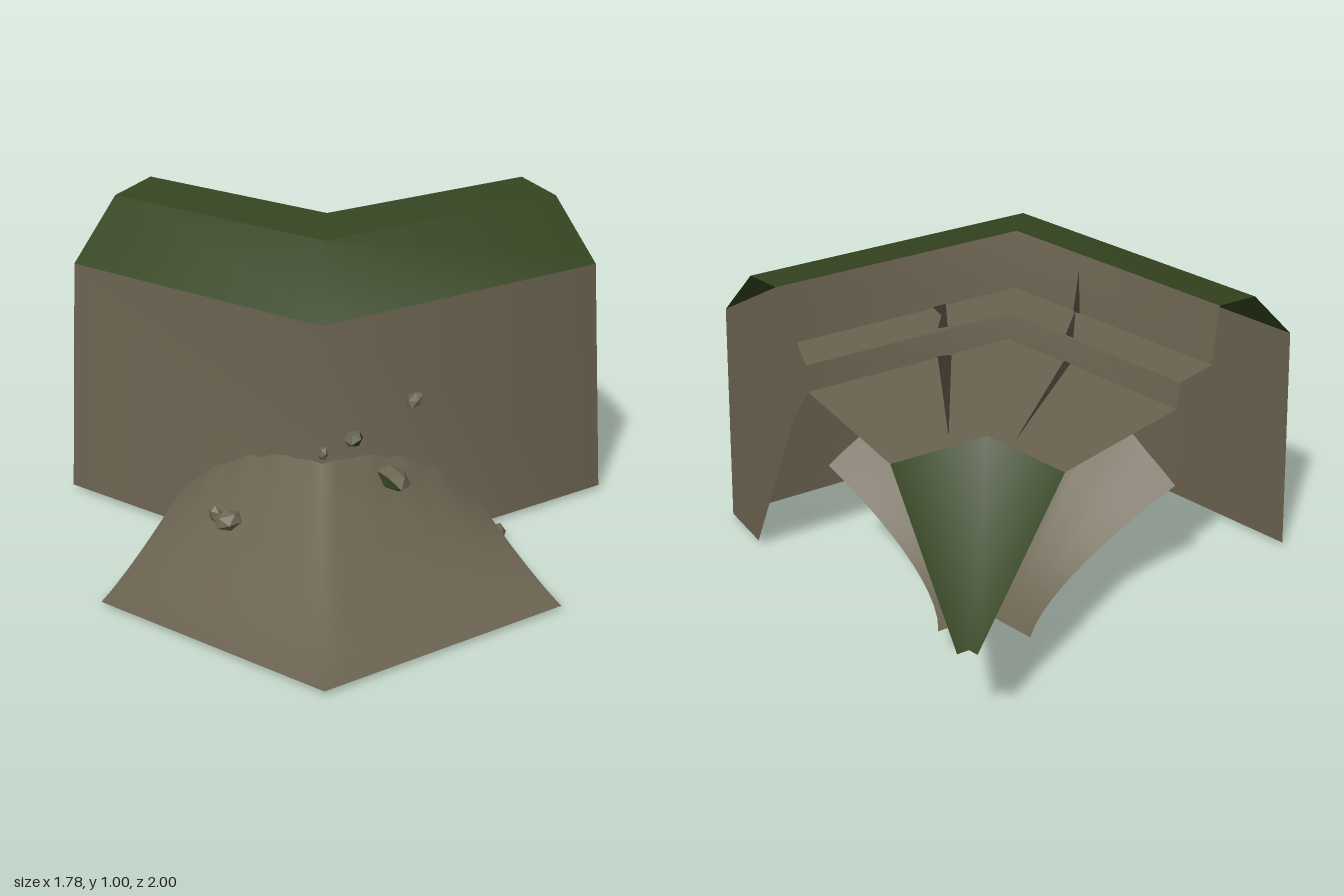
import * as THREE from 'three';

const mat = (name, color) => {
  const m = new THREE.MeshStandardMaterial({ color, side: THREE.DoubleSide });
  m.name = name;
  return m;
};

// Two wings meet at a mitre. d = depth inward from the outer base, l = distance from the mitre.
function P(wing, d, l, y) {
  const x = 0.212 - 0.75 * d, z = 0.45 - d;
  return wing === 0 ? [x - l, y, z] : [x + 0.28 * l, y, z - 0.96 * l];
}
const endAt = (wing, d) => (wing === 0 ? 1.092 - 0.75 * d : 1.14 - 0.78 * d);

function mesh3(points, index) {
  const g = new THREE.BufferGeometry();
  g.setAttribute('position', new THREE.Float32BufferAttribute(points.flat(), 3));
  if (index) g.setIndex(index);
  g.computeVertexNormals();
  return g;
}

// Sweeps a (depth, height) profile along both wings: sharp along its edges, smooth round the mitre
function sweep(profile) {
  const v = [], idx = [];
  for (let i = 0; i + 1 < profile.length; i++) {
    const o = v.length;
    for (const [d, y] of [profile[i], profile[i + 1]]) {
      v.push(P(0, d, endAt(0, d), y), P(0, d, 0, y), P(1, d, endAt(1, d), y));
    }
    for (const k of [o, o + 1]) idx.push(k, k + 1, k + 3, k + 1, k + 4, k + 3);
  }
  return mesh3(v, idx);
}

// Flat polygon in the end plane of the second wing
function endPlate(profile) {
  const g = new THREE.ShapeGeometry(new THREE.Shape(profile.map(p => new THREE.Vector2(...p))));
  const pos = g.attributes.position;
  for (let i = 0; i < pos.count; i++) {
    const d = pos.getX(i);
    pos.setXYZ(i, ...P(1, d, endAt(1, d), pos.getY(i)));
  }
  g.computeVertexNormals();
  return g;
}

// Smooth sheet folded round the mitre; at(s, u) gives depth, half-length, height and x shift
function foldedSheet(at, flip) {
  const cols = 24, rows = 12, v = [], idx = [];
  for (let j = 0; j <= rows; j++) {
    for (let i = 0; i <= cols; i++) {
      const t = (i / cols) * 2 - 1, u = Math.abs(t);
      const { d, l, y, shift = 0 } = at(j / rows, u);
      const p = P(t < 0 ? 0 : 1, d, u * l, y);
      p[0] += shift;
      v.push(p);
      if (i === cols || j === rows) continue;
      const a = j * (cols + 1) + i, b = a + 1, c = a + cols + 1, e = c + 1;
      if (flip) idx.push(a, b, c, b, e, c);
      else idx.push(a, c, b, b, c, e);
    }
  }
  return mesh3(v, idx);
}

const mix = THREE.MathUtils.lerp;
const ragged = (u, s) => 0.008 * Math.sin(u * 27) * Math.sin(Math.PI * u) * (1 - s);

// Angular stone; faces turned toward "grassy" take the second material
function stoneGeometry(r, i, grassy) {
  const g = new THREE.IcosahedronGeometry(r);
  g.scale(1.15, 0.65, 0.9);
  g.applyMatrix4(new THREE.Matrix4().makeRotationFromEuler(
    new THREE.Euler(0.3 * i, 1.3 * i, i % 2 ? 0.45 : -0.4)));
  g.computeVertexNormals();
  const n = g.attributes.normal;
  for (let k = 0; k < n.count; k += 3) {
    const facing = grassy && new THREE.Vector3().fromBufferAttribute(n, k).dot(grassy) > 0.45;
    g.addGroup(k, 3, facing ? 1 : 0);
  }
  return g;
}

export function createModel() {
  const root = new THREE.Group();
  root.name = 'cornerRampart';
  const earth = mat('earth brown', 0x6b6350);
  const grass = mat('grass green', 0x344420);
  const dark = mat('crack brown', 0x37322a);
  const add = (name, geo, material) => {
    const m = new THREE.Mesh(geo, material);
    m.name = name;
    root.add(m);
    return m;
  };

  // Rampart skin: wall, grass crown, firing step, floor, grass ramp
  add('outerWall', sweep([[0, 0.01], [0.06, 0.78]]), earth);
  add('grassCrown', sweep([[0.06, 0.78], [0.26, 0.97], [0.43, 1]]), grass);
  add('stepAndFloor', sweep([[0.43, 1], [0.45, 0.82], [0.595, 0.82], [0.605, 0.74], [1.08, 0.74]]), earth);
  add('grassRamp', sweep([[1.08, 0.74], [1.415, 0.33]]), grass);

  // Closed end of the second wing, open just under the crown
  add('wingEnd', endPlate([[0, 0.01], [0.06, 0.78], [0.43, 1], [0.6, 0.82],
    [0.605, 0.74], [0.5, 0.6], [0.19, 0.01]]), earth);

  // Earth slope outside the corner
  add('outerSlope', foldedSheet((s, u) => {
    const top = mix(0.36, 0.13, u ** 2.2) + ragged(u, s);
    return {
      d: mix(0.02, -0.55, s), l: mix(0.58, 0.85, s),
      y: mix(0.008, top, (1 - s) ** 1.4), shift: 0.04 * s,
    };
  }, false), earth);

  // Earth slope inside the corner, flaring upward under the floor
  add('innerSlope', foldedSheet((s, u) => {
    const top = mix(0.62, 0.4, u ** 2.2) + ragged(u, s);
    return {
      d: mix(0.48, 1.055, s), l: mix(0.165, 0.65, (1 - s) ** 1.5),
      y: mix(0.128, top, (1 - s) ** 1.5),
    };
  }, true), earth);

  // Its underside, running from the foot of the wall out to the lower lip
  add('innerSlopeUnderside', foldedSheet(s => ({
    d: mix(0.01, 1.055, s), l: mix(0.165, 0.41, (1 - s) ** 2),
    y: mix(0.012, 0.128, s ** 1.5),
  }), false), earth);

  // Cracks across floor, step and inner wall
  const cracks = [
    [[-0.68, 0.744, -0.61], [-0.487, 0.744, -0.155], [-0.462, 0.744, -0.155]],
    [[-0.487, 0.824, -0.145], [-0.37, 0.824, 0], [-0.457, 0.824, -0.145]],
    [[-0.39, 0.82, -0.004], [-0.365, 0.82, -0.004], [-0.37, 0.95, 0.011]],
    [[-0.53, 0.744, -0.71], [-0.195, 0.744, -0.355], [-0.172, 0.744, -0.39]],
    [[-0.17, 0.824, -0.345], [-0.04, 0.824, -0.22], [-0.155, 0.824, -0.37]],
    [[-0.04, 0.824, -0.22], [-0.02, 0.824, -0.27], [-0.12, 0.824, -0.31]],
  ];
  add('cracks', mesh3(cracks.flat()), dark);

  // Loose stones: x, y, z, size, grassy side
  const stones = [
    [0.46, 0.38, 0.42, 0.05, new THREE.Vector3(0, -0.8, 0.6)],
    [0.36, 0.53, 0.185, 0.03],
    [0.255, 0.43, 0.35, 0.035, new THREE.Vector3(1, 0, 0)],
    [0, 0.195, 0.64, 0.04],
    [-0.05, 0.2, 0.64, 0.026],
    [0.48, 0.02, -0.11, 0.032],
    [0.2, 0.395, 0.43, 0.02],
  ];
  stones.forEach(([x, y, z, r, grassy], i) => {
    add('stone' + (i + 1), stoneGeometry(r, i, grassy), [earth, grass]).position.set(x, y, z);
  });
  return root;
}
